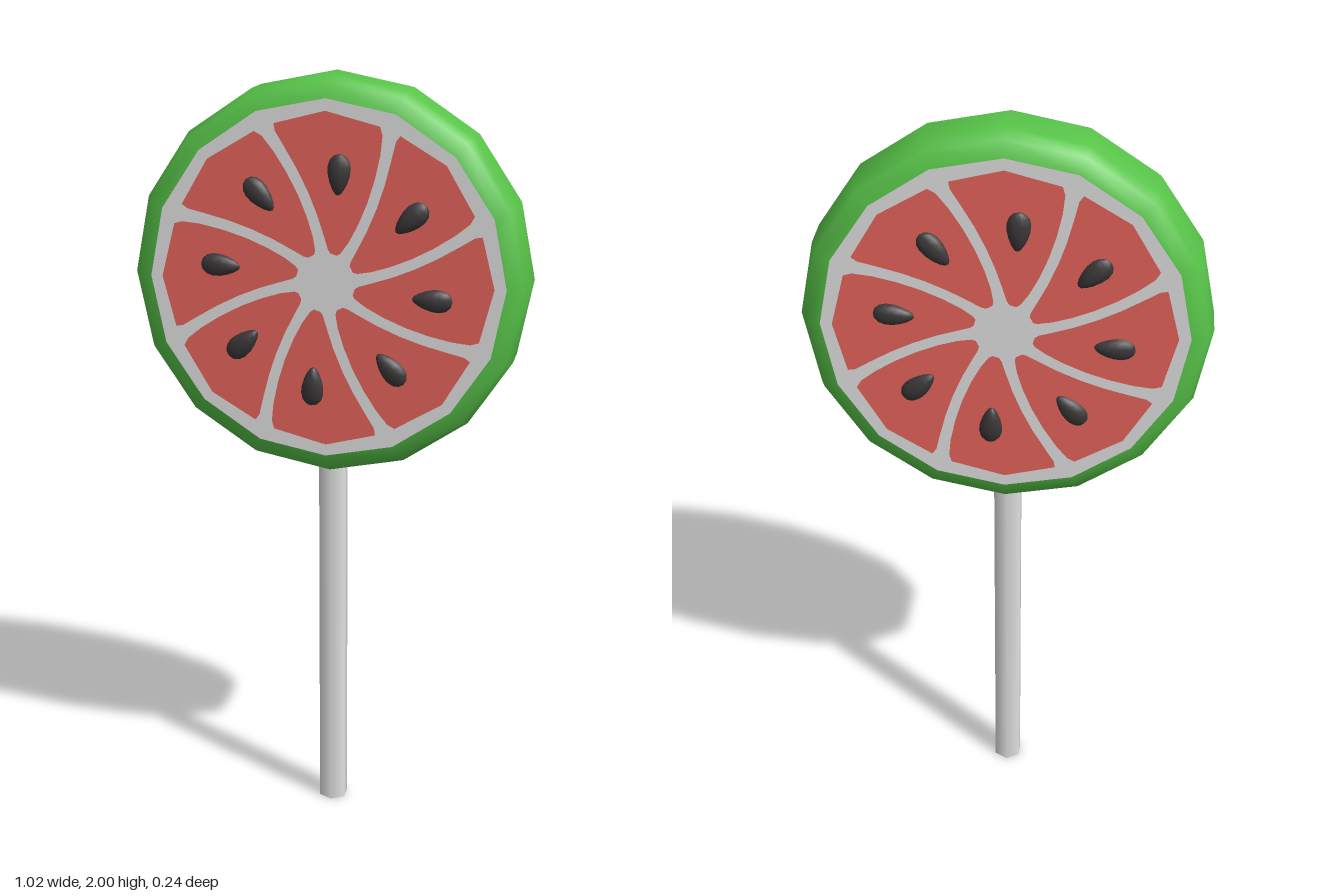
import * as THREE from 'three';

const SIDES = 16, SLICES = 8, CENTER_Y = 1.49;
const FACE_Z = 0.1, RIND_R = 0.455, FLESH_R = 0.425;

const mat = (name, color) => {
  const m = new THREE.MeshStandardMaterial({ color });
  m.name = name;
  return m;
};

function addMesh(parent, name, geometry, material) {
  const mesh = new THREE.Mesh(geometry, material);
  mesh.name = name;
  parent.add(mesh);
  return mesh;
}

const polar = (r, a) => new THREE.Vector2(r * Math.cos(a), r * Math.sin(a));

// Angle of a curved rib at radius r, swirling out to a corner of the disc
const ribAngle = (r) => (Math.PI / 8) * Math.pow(r / FLESH_R, 0.75);

// Outline of one flesh slice between two neighbouring ribs
function sliceOutline(k) {
  const step = (Math.PI * 2) / SLICES;
  const start = k * step;
  // radius and half the rib width there; both ends are pinched to round the corners
  const edge = [[0.076, 0.021], [0.085, 0.0165], [0.12, 0.014], [0.17, 0.0135], [0.23, 0.0135],
    [0.29, 0.014], [0.35, 0.015], [0.395, 0.018], [0.413, 0.027]];
  const points = edge.map(([r, w]) => polar(r, start + ribAngle(r) + w / r));
  points.push(polar(FLESH_R, start + step / 2 + Math.PI / 8));
  for (const [r, w] of [...edge].reverse()) points.push(polar(r, start + step + ribAngle(r) - w / r));
  return points;
}

// Teardrop seed with its fat end outward along +y
function seedGeometry() {
  const g = new THREE.SphereGeometry(1, 10, 8);
  const p = g.attributes.position;
  for (let i = 0; i < p.count; i++) {
    const y = p.getY(i);
    p.setXYZ(i, p.getX(i) * 0.028 * (1 + 0.32 * y), y * 0.051, p.getZ(i) * 0.019);
  }
  g.computeVertexNormals();
  return g;
}

export function createModel() {
  const green = mat('rind green', 0x58c549);
  const white = mat('pith white', 0xe2e2e2);
  const red = mat('flesh red', 0xe8645c);
  const black = mat('seed black', 0x3c3839);

  const model = new THREE.Group();
  model.name = 'lollipop';

  const candy = new THREE.Group();
  candy.name = 'candy';
  candy.position.y = CENTER_Y;
  model.add(candy);

  // Rounded outer rind
  const profile = [[RIND_R, -FACE_Z], [0.495, -0.086], [0.51, -0.048], [0.51, 0.048], [0.495, 0.086], [RIND_R, FACE_Z]]
    .map(([r, z]) => new THREE.Vector2(r, z));
  const rind = new THREE.LatheGeometry(profile, SIDES);
  rind.rotateX(Math.PI / 2);
  addMesh(candy, 'rind', rind, green);

  // Pith with one hole per slice, and the flesh that fills the holes
  const outlines = Array.from({ length: SLICES }, (_, k) => sliceOutline(k));
  const pithShape = new THREE.Shape(
    Array.from({ length: SIDES }, (_, i) => polar(RIND_R, (i / SIDES) * Math.PI * 2)));
  pithShape.holes = outlines.map((o) => new THREE.Path(o));
  const pith = new THREE.ShapeGeometry(pithShape);
  const flesh = new THREE.ShapeGeometry(outlines.map((o) => new THREE.Shape(o)));
  const seed = seedGeometry();

  // The same face on the front and, turned round, on the back
  for (const [name, turn] of [['frontFace', 0], ['backFace', Math.PI]]) {
    const face = new THREE.Group();
    face.name = name;
    face.rotation.y = turn;
    candy.add(face);
    addMesh(face, 'pith', pith, white).position.z = FACE_Z;
    addMesh(face, 'flesh', flesh, red).position.z = FACE_Z;
    for (let k = 0; k < SLICES; k++) {
      const a = (k / SLICES) * Math.PI * 2 - 0.125;
      const s = addMesh(face, 'seed', seed, black);
      s.position.set(0.273 * Math.cos(a), 0.273 * Math.sin(a), FACE_Z);
      s.rotation.z = a - Math.PI / 2 + 0.07;
    }
  }

  // Six-sided stick
  const length = 1.02;
  addMesh(model, 'stick', new THREE.CylinderGeometry(0.04, 0.04, length, 6), white).position.y = length / 2;

  return model;
}
